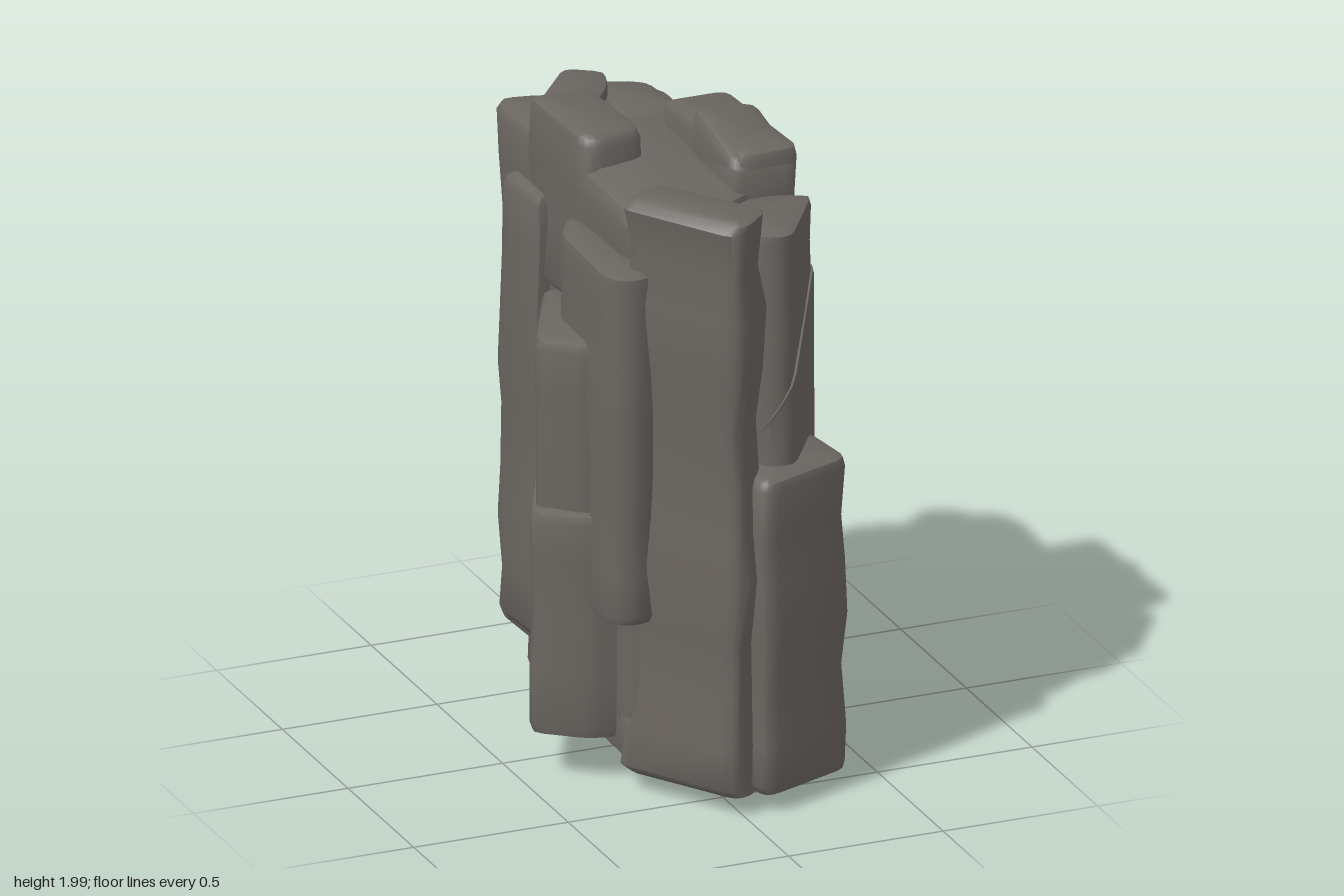
import * as THREE from 'three';
import { toCreasedNormals } from 'three/addons/utils/BufferGeometryUtils.js';

const rock = new THREE.MeshStandardMaterial({ color: 0x6a6560 });
rock.name = 'grey rock';

// small seeded generator for the worn surface
let seed = 11;
const rnd = () => {
  seed = (seed * 16807) % 2147483647;
  return seed / 2147483647 - 0.5;
};

// convex outline pushed inward by d, each corner rounded with three points
function outline(poly, d, round) {
  const n = poly.length;
  const dir = (a, b) => new THREE.Vector2().subVectors(b, a).normalize();
  const inner = poly.map((p, i) => {
    const e0 = dir(poly[(i + n - 1) % n], p), e1 = dir(p, poly[(i + 1) % n]);
    const n0 = new THREE.Vector2(-e0.y, e0.x), n1 = new THREE.Vector2(-e1.y, e1.x);
    const k = d / Math.max(0.4, 1 + n0.dot(n1));
    return p.clone().add(n0.add(n1).multiplyScalar(k));
  });
  const pts = [];
  inner.forEach((p, i) => {
    const a = inner[(i + n - 1) % n], b = inner[(i + 1) % n];
    const p0 = p.clone().addScaledVector(dir(p, a), Math.min(round, p.distanceTo(a) * 0.4));
    const p2 = p.clone().addScaledVector(dir(p, b), Math.min(round, p.distanceTo(b) * 0.4));
    const mid = p0.clone().add(p2).multiplyScalar(0.25).addScaledVector(p, 0.5);
    pts.push(p0, mid, p2);
  });
  return pts;
}

// upright slab: footprint in (x, z), bottom and top heights, top tilt along x and z
function slab(name, corners, y0, y1, { tx = 0, tz = 0, round = 0.035, edge = 0.035, wear = 0.014 } = {}) {
  let poly = corners.map(([x, z]) => new THREE.Vector2(x, z));
  if (THREE.ShapeUtils.area(poly) < 0) poly = poly.reverse();
  const c = poly.reduce((s, p) => s.add(p), new THREE.Vector2()).divideScalar(poly.length);

  // rings: [inset, height], with bevelled ends and worn middle bands
  const rings = [[edge, y0], [edge * 0.3, y0 + edge * 0.3], [0, y0 + edge]];
  const bands = Math.max(1, Math.round((y1 - y0) / 0.17));
  for (let i = 1; i < bands; i++)
    rings.push([wear * (rnd() + 0.25), y0 + (y1 - y0) * (i + rnd() * 0.3) / bands]);
  rings.push([0.003, y1 - edge], [edge * 0.3, y1 - edge * 0.3], [edge, y1]);

  const pos = [], index = [], n = poly.length * 3;
  rings.forEach(([d, y]) => {
    const t = (y - y0) / (y1 - y0);
    const sx = rnd() * wear * 0.6, sz = rnd() * wear * 0.6;
    outline(poly, d, round).forEach(p => {
      pos.push(p.x + sx, y + t * (tx * (p.x - c.x) + tz * (p.y - c.y)), p.y + sz);
    });
  });
  for (let r = 0; r < rings.length - 1; r++)
    for (let i = 0; i < n; i++) {
      const a = r * n + i, b = r * n + (i + 1) % n;
      index.push(a, a + n, b, b, a + n, b + n);
    }
  // end caps
  const last = (rings.length - 1) * n, lo = pos.length / 3;
  pos.push(c.x, y0, c.y, c.x, y1, c.y);
  for (let i = 0; i < n; i++) {
    const j = (i + 1) % n;
    index.push(lo, i, j, lo + 1, last + j, last + i);
  }
  const geo = new THREE.BufferGeometry();
  geo.setAttribute('position', new THREE.Float32BufferAttribute(pos, 3));
  geo.setIndex(index);
  const mesh = new THREE.Mesh(toCreasedNormals(geo, 0.75), rock);
  mesh.name = name;
  return mesh;
}

const rect = (x0, x1, z0, z1) => [[x0, z0], [x1, z0], [x1, z1], [x0, z1]];

export function createModel() {
  seed = 11;
  const g = new THREE.Group();
  g.name = 'rockPillar';
  const base = [[0.34, 0.4], [0.34, -0.1], [0.25, -0.6], [-0.02, -0.66], [-0.24, -0.42], [-0.25, 0.35], [-0.05, 0.5]];
  const front = [[0.39, 0.28], [0.2, 0.57], [0.12, 0.56], [-0.05, 0.32], [0.1, 0.2]];
  g.add(
    // core and foot
    slab('foot', [[0.17, 0.3], [0.2, -0.2], [0.08, -0.45], [-0.09, -0.4], [-0.09, 0.34]], 0, 0.16),
    slab('base', base, 0.12, 0.72, { edge: 0.05 }),
    slab('baseLedge', base.map(([x, z]) => [x * 1.035, z * 1.01]), 0.11, 0.4, { tz: -0.36, edge: 0.02 }),
    slab('core', [[0.24, 0.25], [0.25, -0.5], [0.18, -0.6], [-0.05, -0.6], [-0.24, -0.35], [-0.23, 0.28], [-0.1, 0.34], [0.1, 0.33]],
      0.3, 1.86, { edge: 0.06, tz: -0.04 }),

    // front columns
    slab('frontLeftColumn', [[-0.26, 0.33], [-0.11, 0.24], [0.12, 0.57], [0.02, 0.67], [-0.04, 0.68]], 0.05, 1.91, { wear: 0.03 }),
    slab('frontRightColumn', front, 0.7, 1.81),
    slab('frontRightLayer', front.map(([x, z]) => [x * 1.02 - 0.002, z * 1.02]), 0.75, 1.26, { tx: 1.5, edge: 0.02 }),
    slab('frontLowColumn', [[0.04, 0.66], [0.08, 0.69], [0.38, 0.57], [0.35, 0.34], [0.22, 0.24], [0.03, 0.42]], 0.05, 1.07),

    // right side slabs
    slab('rightColumn', [[0.12, -0.27], [0.34, -0.27], [0.355, 0.27], [0.15, 0.28]], 0.68, 1.95, { tz: 0.03 }),
    slab('rightColumnCap', rect(0.13, 0.345, -0.06, 0.275), 1.6, 1.96, { tz: -0.2, tx: -0.1 }),
    slab('rightColumnFlare', [[0.15, -0.2], [0.37, -0.2], [0.4, 0.0], [0.385, 0.27], [0.2, 0.28]], 0.67, 1.2, { edge: 0.03 }),

    // back right slabs
    slab('backRightLower', [[0.12, -0.57], [0.32, -0.68], [0.475, -0.26], [0.28, -0.2]], 0.48, 1.23),
    slab('backRightUpper', [[0.12, -0.58], [0.31, -0.65], [0.44, -0.27], [0.25, -0.22]], 1.05, 1.59),

    // back columns
    slab('backColumn', [[-0.02, -0.69], [0.1, -0.61], [0.05, -0.48], [-0.06, -0.35], [-0.26, -0.39]], 0.42, 1.91, { wear: 0.025 }),
    slab('backMiddle', [[0.0, -0.66], [0.22, -0.58], [0.24, -0.3], [0.0, -0.3]], 0.5, 1.88, { edge: 0.05 }),
    slab('backLeftColumn', [[-0.23, -0.67], [-0.08, -0.64], [0.0, -0.45], [-0.25, -0.35], [-0.26, -0.6]], 0.2, 1.86, { wear: 0.025 }),
    slab('backLeftStep', [[-0.3, -0.5], [-0.2, -0.52], [-0.1, -0.3], [-0.28, -0.25]], 0.25, 1.69),
    slab('topLeftBlock', [[-0.26, -0.4], [-0.05, -0.4], [-0.02, -0.05], [-0.2, -0.01], [-0.24, -0.06]], 1.4, 1.96, { tz: -0.03 }),

    // left side slabs
    slab('leftColumn', [[-0.32, 0.0], [-0.25, -0.13], [-0.15, -0.1], [-0.15, 0.4], [-0.26, 0.43], [-0.33, 0.37]], 0.55, 1.68),
    slab('leftUpper', [[-0.46, 0.13], [-0.27, -0.25], [-0.1, -0.15], [-0.15, 0.25], [-0.33, 0.25]], 0.6, 1.41),
    slab('leftLower', [[-0.48, 0.15], [-0.25, -0.32], [-0.05, -0.2], [-0.15, 0.3], [-0.33, 0.27]], 0.14, 0.87)
  );
  return g;
}
